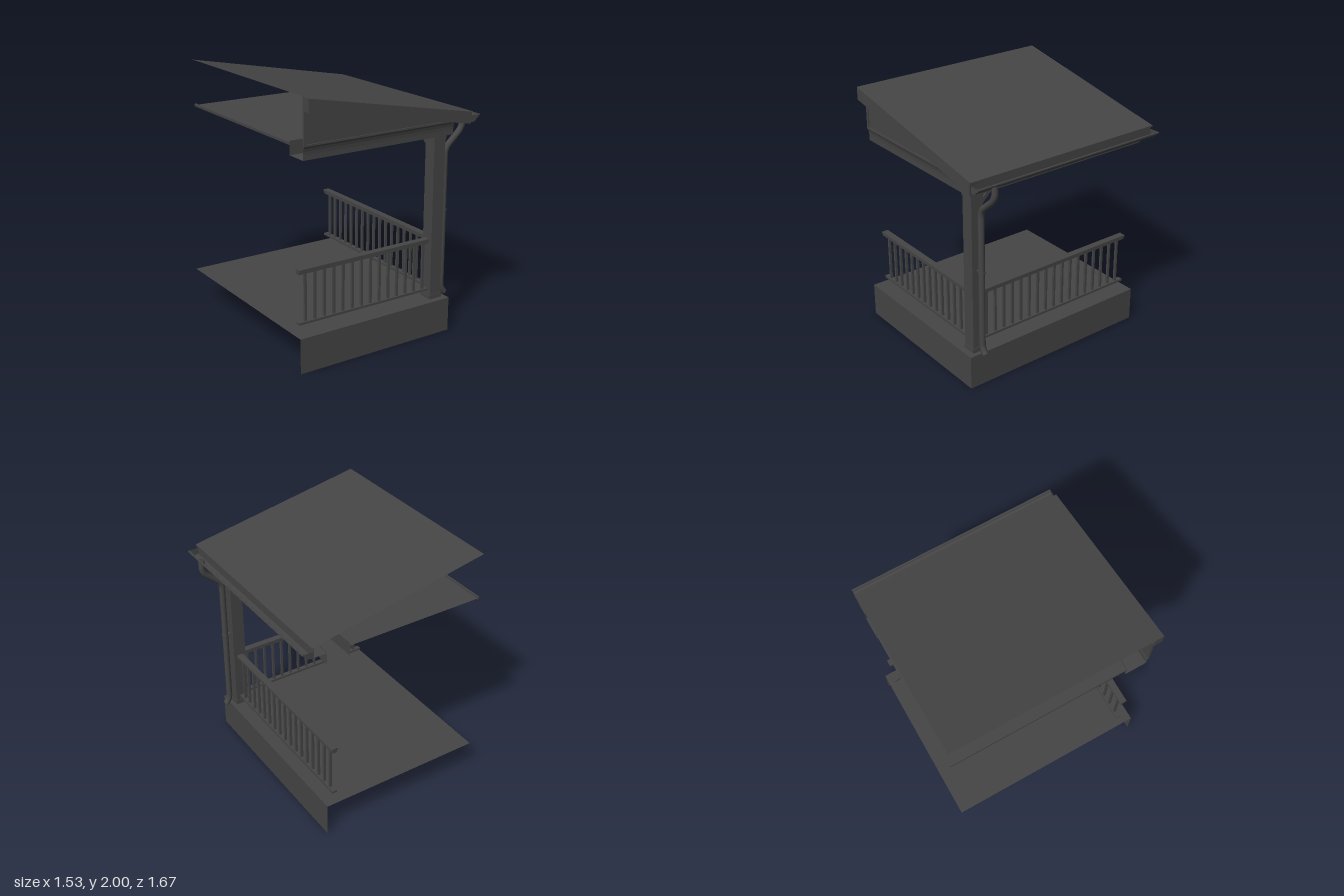
import * as THREE from 'three';

const flat = new THREE.MeshStandardMaterial({ color: 0x454545, flatShading: true, side: THREE.DoubleSide });
const smooth = new THREE.MeshStandardMaterial({ color: 0x454545, side: THREE.DoubleSide });

export function createModel() {
  const model = new THREE.Group();
  model.name = 'porch';

  const add = (name, geometry, material = flat, parent = model) => {
    const mesh = new THREE.Mesh(geometry, material);
    mesh.name = name;
    parent.add(mesh);
    return mesh;
  };
  // Box given by its extents on each axis
  const box = (name, x0, x1, y0, y1, z0, z1, parent = model) => {
    const mesh = add(name, new THREE.BoxGeometry(x1 - x0, y1 - y0, z1 - z0), flat, parent);
    mesh.position.set((x0 + x1) / 2, (y0 + y1) / 2, (z0 + z1) / 2);
    return mesh;
  };
  // Open sheet: a profile of [across, y] points drawn out along x or z
  const sheet = (name, profile, axis, from, to) => {
    const pos = [];
    const index = [];
    profile.forEach(([a, y], i) => {
      for (const t of [from, to]) pos.push(...(axis === 'x' ? [t, y, a] : [a, y, t]));
      if (i) {
        const k = 2 * i;
        index.push(k - 2, k - 1, k, k - 1, k + 1, k);
      }
    });
    const g = new THREE.BufferGeometry();
    g.setAttribute('position', new THREE.Float32BufferAttribute(pos, 3));
    g.setIndex(index);
    g.computeVertexNormals();
    return add(name, g);
  };
  const outline = (points) => new THREE.Shape(points.map(([x, y]) => new THREE.Vector2(x, y)));
  // Front-facing outline extruded from z0 to z1
  const slab = (name, points, z0, z1) => {
    const g = new THREE.ExtrudeGeometry(outline(points), { depth: z1 - z0, bevelEnabled: false });
    g.translate(0, 0, z0);
    return add(name, g);
  };

  // Deck with skirts on the front and right only
  sheet('deckFloor', [[0.573, 0.27], [-0.77, 0.27]], 'z', -0.835, 0.775);
  sheet('frontSkirt', [[0.775, 0], [0.775, 0.27]], 'x', -0.77, 0.573);
  sheet('sideSkirt', [[0.573, 0], [0.573, 0.27]], 'z', -0.835, 0.775);

  // Corner post with stepped base and cap
  const post = new THREE.Group();
  post.name = 'cornerPost';
  model.add(post);
  const px = 0.482, pz = 0.67;
  const block = (name, half, y0, y1) => box(name, px - half, px + half, y0, y1, pz - half, pz + half, post);
  block('postShaft', 0.051, 0.27, 1.558);
  block('postBase', 0.057, 0.27, 0.3);
  block('postBaseStep', 0.054, 0.3, 0.312);
  block('postCap', 0.057, 1.53, 1.558);
  block('postCapStep', 0.054, 1.515, 1.53);

  // Diagonal brace from post to side beam
  const brace = add('kneeBrace', new THREE.BoxGeometry(0.03, 0.25, 0.03));
  brace.position.set(px, 1.5, 0.555);
  brace.rotation.x = -Math.PI / 4;

  // Railings: built along +x, then placed
  const railing = (name, length, first, count) => {
    const rail = new THREE.Group();
    rail.name = name;
    model.add(rail);
    box('handrail', 0, length, 0.735, 0.752, -0.027, 0.027, rail);
    box('handrailCore', 0, length, 0.715, 0.735, -0.018, 0.018, rail);
    box('bottomRail', 0, length, 0.332, 0.35, -0.02, 0.02, rail);
    for (let i = 0; i < count; i++) {
      const x = first + i * 0.081;
      box('baluster', x - 0.009, x + 0.009, 0.35, 0.715, -0.009, 0.009, rail);
    }
    return rail;
  };
  const frontRail = railing('frontRailing', 1.155, 0.04, 14);
  frontRail.position.set(0.43, 0, pz);
  frontRail.rotation.y = Math.PI;
  const sideRail = railing('sideRailing', 1.415, 0.058, 17);
  sideRail.position.set(px, 0, 0.622);
  sideRail.rotation.y = Math.PI / 2;

  // Hollow beams (the front one with a coved top) and the ceiling between them
  sheet('frontBeam', [[0.585, 1.66], [0.585, 1.558], [0.757, 1.558], [0.757, 1.595],
    [0.759, 1.62], [0.764, 1.642], [0.772, 1.658]], 'x', -0.725, 0.573);
  sheet('sideBeam', [[0.39, 1.66], [0.39, 1.558], [0.573, 1.558], [0.573, 1.655]], 'z', -0.835, 0.757);
  sheet('ceiling', [[-0.725, 1.64], [0.39, 1.64]], 'z', -0.835, 0.585);
  box('ceilingEdge', -0.725, -0.71, 1.63, 1.65, -0.835, 0.585);
  box('frontCeilingTrim', -0.71, 0.39, 1.615, 1.64, 0.565, 0.585);
  box('sideCeilingTrim', 0.37, 0.39, 1.615, 1.64, -0.835, 0.565);

  // Shed roof, rake board, fascia and soffit
  sheet('roofPanel', [[-0.73, 2], [0.69, 1.73], [0.69, 1.718]], 'z', -0.838, 0.835);
  slab('rakeBoard', [[-0.73, 1.9], [0.672, 1.64], [0.68, 1.728], [-0.73, 1.997]], 0.765, 0.835);
  sheet('eaveFascia', [[0.675, 1.73], [0.675, 1.648]], 'z', -0.835, 0.765);
  sheet('eaveSoffit', [[0.573, 1.648], [0.675, 1.648]], 'z', -0.835, 0.765);

  // Gable infill with narrow trim
  slab('gablePanel', [[-0.725, 1.66], [0.57, 1.66], [0.57, 1.7], [-0.725, 1.95]], 0.755, 0.762);
  box('gableSideTrim', -0.725, -0.705, 1.665, 1.9, 0.762, 0.772);
  box('gableBottomTrim', -0.725, 0.55, 1.655, 1.668, 0.762, 0.772);

  // Gutter with an ogee front and closed ends
  const ogee = [[0.678, 1.7], [0.678, 1.648], [0.712, 1.648], [0.725, 1.656], [0.735, 1.672],
    [0.752, 1.68], [0.757, 1.692], [0.765, 1.692], [0.765, 1.7], [0.752, 1.7]];
  sheet('gutter', ogee, 'z', -0.835, 0.825);
  for (const z of [-0.835, 0.825]) {
    add('gutterEnd', new THREE.ShapeGeometry(outline(ogee))).position.z = z;
  }

  // Downspout: straight runs joined by rounded bends
  const v = (x, y) => new THREE.Vector3(x, y, pz);
  const path = new THREE.CurvePath();
  path.add(new THREE.LineCurve3(v(0.733, 1.68), v(0.733, 1.62)));
  path.add(new THREE.QuadraticBezierCurve3(v(0.733, 1.62), v(0.733, 1.58), v(0.695, 1.54)));
  path.add(new THREE.LineCurve3(v(0.695, 1.54), v(0.61, 1.465)));
  path.add(new THREE.QuadraticBezierCurve3(v(0.61, 1.465), v(0.575, 1.435), v(0.575, 1.38)));
  path.add(new THREE.LineCurve3(v(0.575, 1.38), v(0.575, 0.36)));
  path.add(new THREE.QuadraticBezierCurve3(v(0.575, 0.36), v(0.575, 0.315), v(0.61, 0.277)));
  add('downspout', new THREE.TubeGeometry(path, 110, 0.024, 14), smooth);
  const strap = add('downspoutStrap', new THREE.CylinderGeometry(0.027, 0.027, 0.015, 14), smooth);
  strap.position.set(0.575, 0.95, pz);
  box('strapBracket', 0.53, 0.555, 0.946, 0.954, pz - 0.015, pz + 0.015);

  return model;
}
